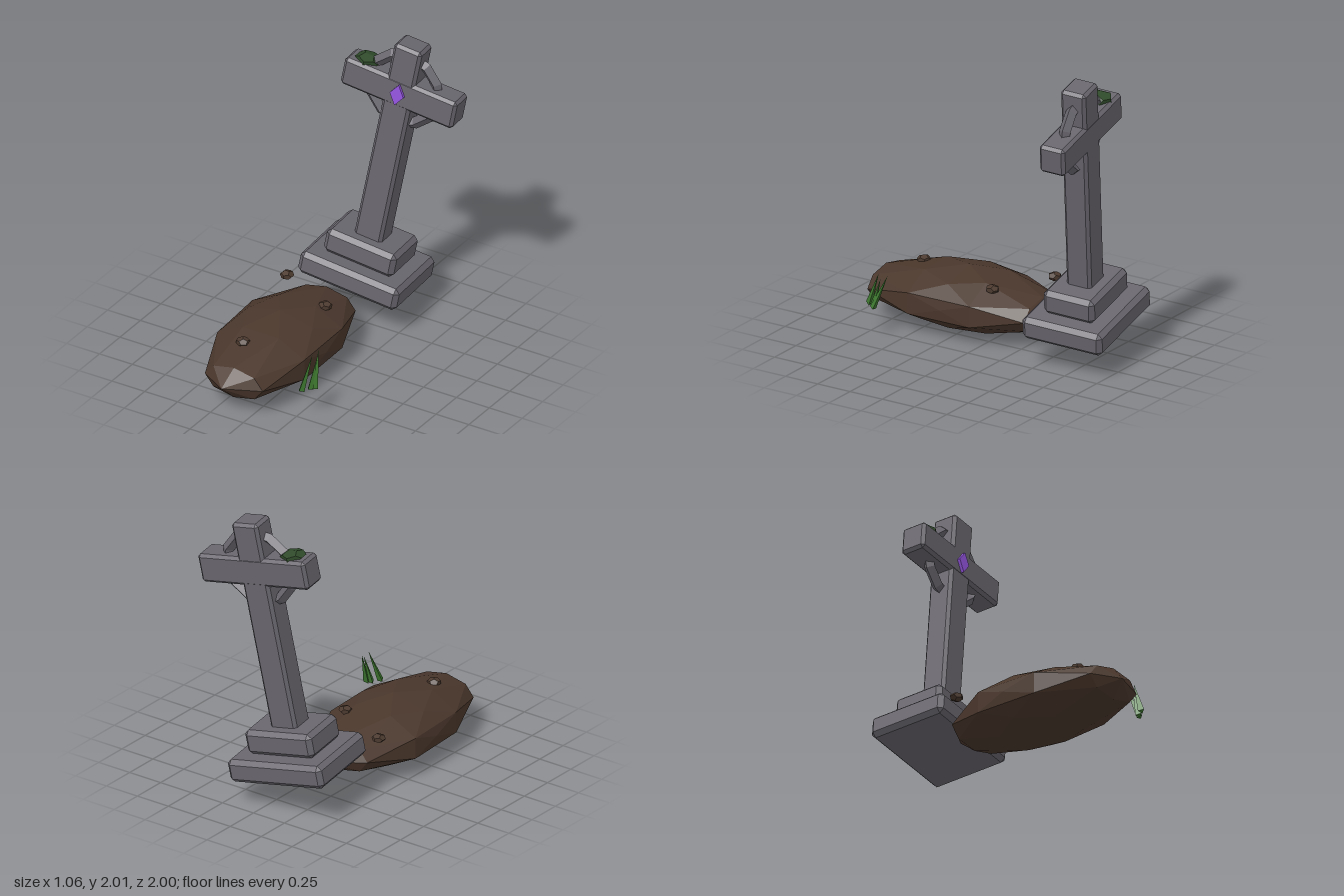
import * as THREE from 'three';
import { ConvexGeometry } from 'three/addons/geometries/ConvexGeometry.js';

const paint = (name, color) => {
  const m = new THREE.MeshStandardMaterial({ color, flatShading: true });
  m.name = name;
  return m;
};

// Box with every edge chamfered by c
function chamferBox(w, h, d, c) {
  const pts = [];
  const [x, y, z] = [w / 2, h / 2, d / 2];
  for (const i of [-1, 1]) for (const j of [-1, 1]) for (const k of [-1, 1]) {
    pts.push(
      new THREE.Vector3(i * x, j * (y - c), k * (z - c)),
      new THREE.Vector3(i * (x - c), j * y, k * (z - c)),
      new THREE.Vector3(i * (x - c), j * (y - c), k * z));
  }
  return new ConvexGeometry(pts);
}

// Faceted mound from staggered elliptical sections along z
function moundGeometry() {
  // z, centre x, centre y, half width, half height
  const sections = [
    [0.89, -0.14, 0.21, 0.22, 0.11],
    [0.52, -0.165, 0.215, 0.36, 0.19],
    [0.27, -0.175, 0.22, 0.35, 0.213],
    [0.05, -0.18, 0.215, 0.37, 0.19],
    [-0.30, -0.175, 0.21, 0.22, 0.112],
  ];
  const pts = [new THREE.Vector3(-0.17, 0.205, 0.995), new THREE.Vector3(-0.16, 0.2, -0.44)];
  sections.forEach(([z, cx, cy, rx, ry], k) => {
    for (let i = 0; i < 8; i++) {
      const a = (i + (k % 2) / 2) * Math.PI / 4;
      pts.push(new THREE.Vector3(cx + rx * Math.cos(a), cy + ry * Math.sin(a), z));
    }
  });
  return new ConvexGeometry(pts);
}

export function createModel() {
  const model = new THREE.Group();
  model.name = 'graveMarker';

  const stone = paint('stone', 0x69666e);
  const soil = paint('soil', 0x4a372c);
  const pebble = paint('pebble', 0x4c3a2f);
  const moss = paint('moss', 0x2f4a2a);
  const grass = paint('grass', 0x3f7a30);
  const gem = paint('gem', 0x9455e0);

  const add = (parent, name, geometry, material, x = 0, y = 0, z = 0) => {
    const mesh = new THREE.Mesh(geometry, material);
    mesh.name = name;
    mesh.position.set(x, y, z);
    parent.add(mesh);
    return mesh;
  };

  // Leaning stone cross on a stepped base
  const cross = new THREE.Group();
  cross.name = 'cross';
  cross.position.set(-0.123, 0.24, -0.674);
  cross.rotation.set(-0.06, 0.105, -0.165);
  model.add(cross);

  add(cross, 'plinth', chamferBox(0.72, 0.16, 0.58, 0.03), stone, 0, 0.08, 0);
  add(cross, 'step', chamferBox(0.51, 0.17, 0.37, 0.03), stone, 0, 0.245, 0);
  add(cross, 'shaft', chamferBox(0.2, 1.48, 0.18, 0.02), stone, 0, 1.045, 0);
  add(cross, 'arms', chamferBox(0.82, 0.2, 0.184, 0.02), stone, 0, 1.44, 0);
  add(cross, 'ring', new THREE.TorusGeometry(0.245, 0.04, 4, 12), stone, 0, 1.44, 0);

  // Diamond inlay on the front of the crossing
  const inlay = add(cross, 'gemInlay', new THREE.CylinderGeometry(1, 1, 1, 4), gem, 0, 1.44, 0.097);
  inlay.rotation.x = Math.PI / 2;
  inlay.scale.set(0.05, 0.03, 0.077);

  // Moss clump on one arm
  const clump = add(cross, 'mossClump', new THREE.DodecahedronGeometry(1, 0), moss, -0.28, 1.546, 0.0);
  clump.scale.set(0.09, 0.036, 0.085);

  // Earth mound with pebbles
  add(model, 'mound', moundGeometry(), soil);
  [[-0.43, 0.37, -0.225], [-0.01, 0.372, -0.02], [-0.22, 0.372, 0.65]].forEach(([x, y, z], i) => {
    const p = add(model, 'pebble', new THREE.DodecahedronGeometry(1, 0), pebble, x, y, z);
    p.scale.set(0.047, 0.03, 0.047);
    p.rotation.y = i * 1.1;
  });

  // Grass blades, each from base to tip
  const blades = [
    [[0.28, 0.205, 0.745], [0.31, 0.44, 0.65]],
    [[0.34, 0.205, 0.675], [0.31, 0.44, 0.58]],
    [[0.315, 0.205, 0.69], [0.328, 0.41, 0.625]],
  ];
  const up = new THREE.Vector3(0, 1, 0);
  for (const [a, b] of blades) {
    const base = new THREE.Vector3(...a), tip = new THREE.Vector3(...b);
    const dir = tip.clone().sub(base);
    const mid = base.add(tip).multiplyScalar(0.5);
    const blade = add(model, 'grassBlade', new THREE.ConeGeometry(0.024, dir.length(), 3), grass, mid.x, mid.y, mid.z);
    blade.quaternion.setFromUnitVectors(up, dir.normalize());
  }
  return model;
}
